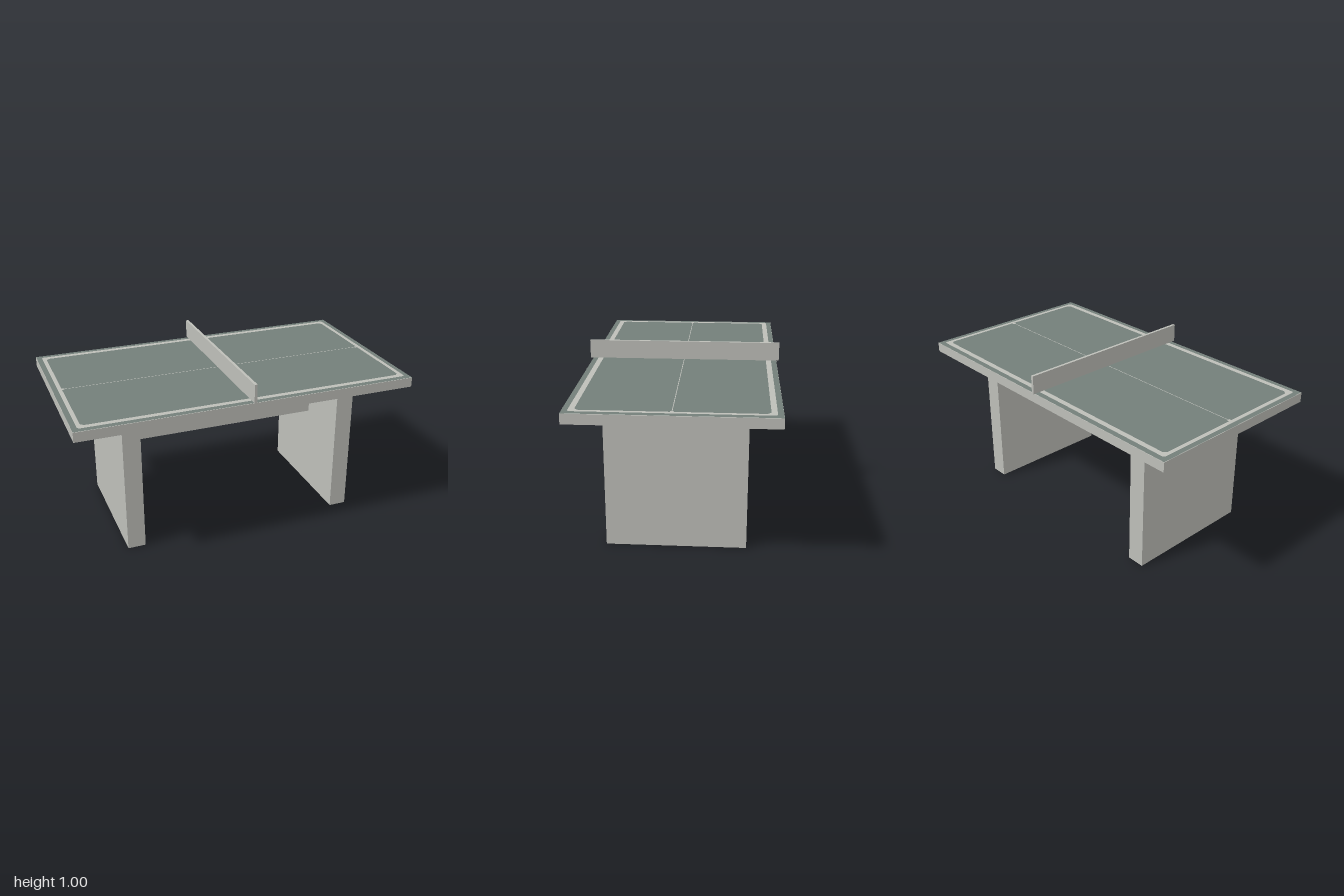
import * as THREE from 'three';

export function createModel() {
  const group = new THREE.Group();
  group.name = 'pingPongTable';

  const stone = new THREE.MeshStandardMaterial({ color: 0xbebfb9 });
  stone.name = 'paleStone';
  const green = new THREE.MeshStandardMaterial({ color: 0x747f7a });
  green.name = 'greyGreen';

  const add = (name, geometry, material, x, y, z) => {
    const mesh = new THREE.Mesh(geometry, material);
    mesh.name = name;
    mesh.position.set(x, y, z);
    group.add(mesh);
    return mesh;
  };
  // Box given by its size and the height of its underside
  const box = (name, w, h, d, x, bottom, material = stone) =>
    add(name, new THREE.BoxGeometry(w, h, d), material, x, bottom + h / 2, 0);

  // Flat face lying on the table
  const flat = (name, geometry, material, x, y, z) => {
    add(name, geometry, material, x, y, z).rotation.x = -Math.PI / 2;
  };

  // Rectangle with cut corners
  const outline = (w, d, cut, Type) => new Type([
    [w - cut, d], [-w + cut, d], [-w, d - cut], [-w, -d + cut],
    [-w + cut, -d], [w - cut, -d], [w, -d + cut], [w, d - cut],
  ].map(([x, y]) => new THREE.Vector2(x, y)));

  // Slab legs and the beam between them
  for (const side of [-1, 1]) {
    box(side > 0 ? 'leftLeg' : 'rightLeg', 0.104, 0.825, 0.785, side * 0.658, 0);
  }
  box('crossBeam', 1.212, 0.172, 0.08, 0, 0.508);

  // Table top with its painted playing surface
  box('tableTop', 2, 0.057, 1.112, 0, 0.825);
  flat('playingSurface', new THREE.PlaneGeometry(1.998, 1.11), green, 0, 0.8835, 0);

  // Border line
  const border = outline(0.969, 0.524, 0.01, THREE.Shape);
  border.holes.push(outline(0.946, 0.493, 0.018, THREE.Path));
  flat('borderLine', new THREE.ShapeGeometry(border), stone, 0, 0.885, 0);

  // Centre line with widened ends
  flat('centreLine', new THREE.PlaneGeometry(1.9, 0.004), stone, 0, 0.885, 0);
  for (const side of [-1, 1]) {
    flat('centreLineEnd', new THREE.PlaneGeometry(0.016, 0.018), stone, side * 0.939, 0.885, 0);
  }

  // Solid net
  box('net', 0.016, 0.109, 1.14, 0, 0.888);

  return group;
}
